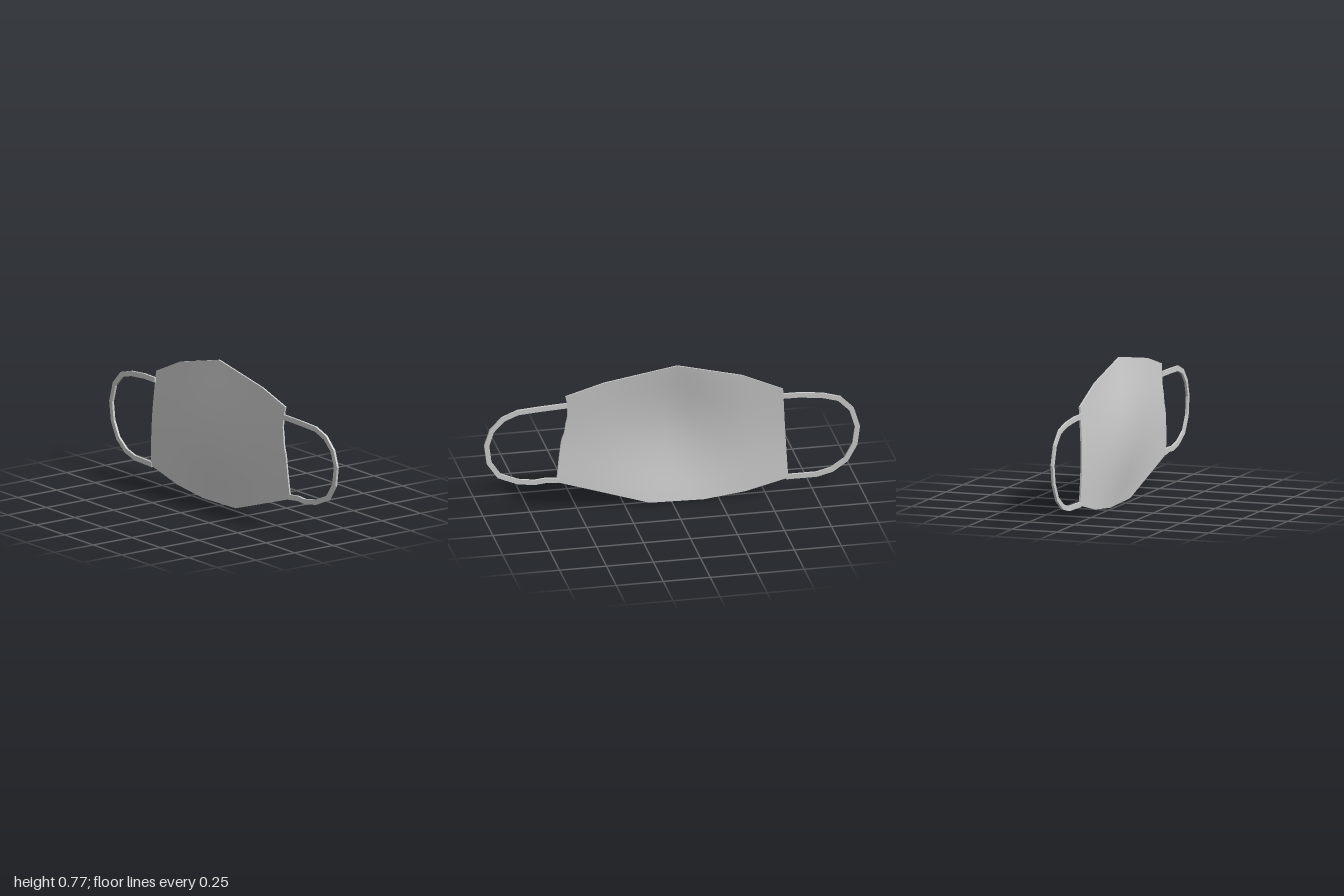
import * as THREE from 'three';

const THICK = 0.009;
const material = new THREE.MeshStandardMaterial({ color: 0xcccccc, side: THREE.DoubleSide });

// Piecewise linear lookup in a list of [position, value] pairs
function lookup(pairs, t) {
  for (let i = 1; i < pairs.length; i++) {
    const [a, va] = pairs[i - 1], [b, vb] = pairs[i];
    if (t <= b) return THREE.MathUtils.lerp(va, vb, Math.max(0, (t - a) / (b - a)));
  }
  return pairs[pairs.length - 1][1];
}

// Cloth outline, by position u across the width (0 = right end, 1 = left end)
const COLUMNS = [0, 0.09, 0.185, 0.275, 0.366, 0.425, 0.485, 0.54, 0.6, 0.71, 0.823, 0.91, 1];
const ROWS = 18;
const topY = [[0, 0.6], [0.185, 0.695], [0.485, 0.78], [0.823, 0.715], [1, 0.655]];
const bottomY = [[0, 0.085], [0.185, 0.03], [0.366, 0.005], [0.6, 0.012], [1, 0.17]];
const topZ = [[0, -0.026], [0.485, -0.018], [1, -0.01]];
const bottomZ = [[0, -0.014], [0.366, -0.018], [0.6, -0.018], [1, -0.006]];
const middleZ = [[0, -0.01], [0.09, -0.008], [0.185, -0.003], [0.275, 0.01], [0.366, 0.025],
  [0.425, 0.033], [0.485, 0.037], [0.54, 0.035], [0.6, 0.028], [0.71, 0.015], [0.823, 0.005], [1, 0.002]];
// Slightly ragged left edge, x by height v
const leftX = [[0, 0.612], [0.1, 0.607], [0.3, 0.596], [0.48, 0.585], [0.58, 0.566],
  [0.65, 0.565], [0.76, 0.552], [0.92, 0.556], [1, 0.565]];

function clothPoint(u, v) {
  const straight = THREE.MathUtils.lerp(0.612, 0.565, v);
  const ragged = (lookup(leftX, v) - straight) * Math.max(0, (u - 0.8) / 0.2);
  const x = THREE.MathUtils.lerp(THREE.MathUtils.lerp(-0.62, -0.59, v), straight, u) + ragged;
  const y = THREE.MathUtils.lerp(lookup(bottomY, u), lookup(topY, u), v);
  const edge = THREE.MathUtils.lerp(lookup(bottomZ, u), lookup(topZ, u), v);
  const centre = (lookup(bottomZ, u) + lookup(topZ, u)) / 2;
  const z = edge + (lookup(middleZ, u) - centre) * Math.pow(Math.sin(Math.PI * v), 1.1);
  return [x, y, Number.isFinite(z) ? z : edge];
}

function makeGeometry(positions, index) {
  const geometry = new THREE.BufferGeometry();
  geometry.setAttribute('position', new THREE.Float32BufferAttribute(positions, 3));
  if (index) geometry.setIndex(index);
  geometry.computeVertexNormals();
  return geometry;
}

// One smooth cloth face; the back is the front pushed back and turned over
function clothFace(back) {
  const positions = [], index = [], n = COLUMNS.length;
  for (let j = 0; j <= ROWS; j++) {
    for (const u of COLUMNS) {
      const [x, y, z] = clothPoint(u, j / ROWS);
      positions.push(x, y, back ? z - THICK : z);
    }
  }
  for (let j = 0; j < ROWS; j++) {
    for (let i = 0; i < n - 1; i++) {
      const a = j * n + i, b = a + 1, c = b + n, d = a + n;
      index.push(...(back ? [a, c, b, a, d, c] : [a, b, c, a, c, d]));
    }
  }
  return makeGeometry(positions, index);
}

// Hard-edged strip joining the two cloth faces
function clothRim() {
  const heights = Array.from({ length: ROWS + 1 }, (_, j) => j / ROWS);
  const border = [
    ...COLUMNS.map((u) => [u, 0]),
    ...heights.slice(1).map((v) => [1, v]),
    ...COLUMNS.slice(0, -1).reverse().map((u) => [u, 1]),
    ...heights.slice(0, -1).reverse().map((v) => [0, v]),
  ];
  const positions = [];
  for (let i = 0; i < border.length - 1; i++) {
    const p = clothPoint(...border[i]), q = clothPoint(...border[i + 1]);
    const pb = [p[0], p[1], p[2] - THICK], qb = [q[0], q[1], q[2] - THICK];
    positions.push(...p, ...pb, ...qb, ...p, ...qb, ...q);
  }
  return makeGeometry(positions);
}

// Flat elastic band following a path, curving back away from the cloth
function earLoop(path, zStart) {
  const points = path.map(([x, y]) => new THREE.Vector2(x, y));
  const inner = [], outer = [];
  points.forEach((p, i) => {
    const before = points[Math.max(0, i - 1)], after = points[Math.min(points.length - 1, i + 1)];
    const t = after.clone().sub(before).normalize();
    const side = new THREE.Vector2(-t.y, t.x).multiplyScalar(0.0135);
    outer.push(p.clone().add(side));
    inner.push(p.clone().sub(side));
  });
  const geometry = new THREE.ExtrudeGeometry(new THREE.Shape([...outer, ...inner.reverse()]),
    { depth: 0.012, bevelEnabled: false });
  const pos = geometry.attributes.position;
  for (let i = 0; i < pos.count; i++) {
    const t = THREE.MathUtils.clamp((Math.abs(pos.getX(i)) - 0.57) / 0.43, 0, 1);
    pos.setZ(i, pos.getZ(i) - 0.006 + THREE.MathUtils.lerp(zStart, -0.03, t));
  }
  geometry.computeVertexNormals();
  return geometry;
}

export function createModel() {
  const model = new THREE.Group();
  model.name = 'faceMask';
  const add = (name, geometry, parent) => {
    const mesh = new THREE.Mesh(geometry, material);
    mesh.name = name;
    parent.add(mesh);
  };

  // Cloth panel
  const cloth = new THREE.Group();
  cloth.name = 'clothPanel';
  add('clothFront', clothFace(false), cloth);
  add('clothBack', clothFace(true), cloth);
  add('clothRim', clothRim(), cloth);
  model.add(cloth);

  // Ear loops
  add('rightEarLoop', earLoop([[-0.585, 0.552], [-0.68, 0.552], [-0.8, 0.54], [-0.89, 0.515], [-0.955, 0.45],
    [-0.986, 0.35], [-0.972, 0.25], [-0.925, 0.165], [-0.85, 0.113], [-0.77, 0.092], [-0.61, 0.09]], -0.017), model);
  add('leftEarLoop', earLoop([[0.555, 0.6], [0.7, 0.596], [0.82, 0.59], [0.9, 0.56], [0.96, 0.5], [0.987, 0.42],
    [0.974, 0.32], [0.92, 0.24], [0.82, 0.196], [0.73, 0.181], [0.67, 0.186], [0.6, 0.178]], -0.01), model);
  return model;
}
